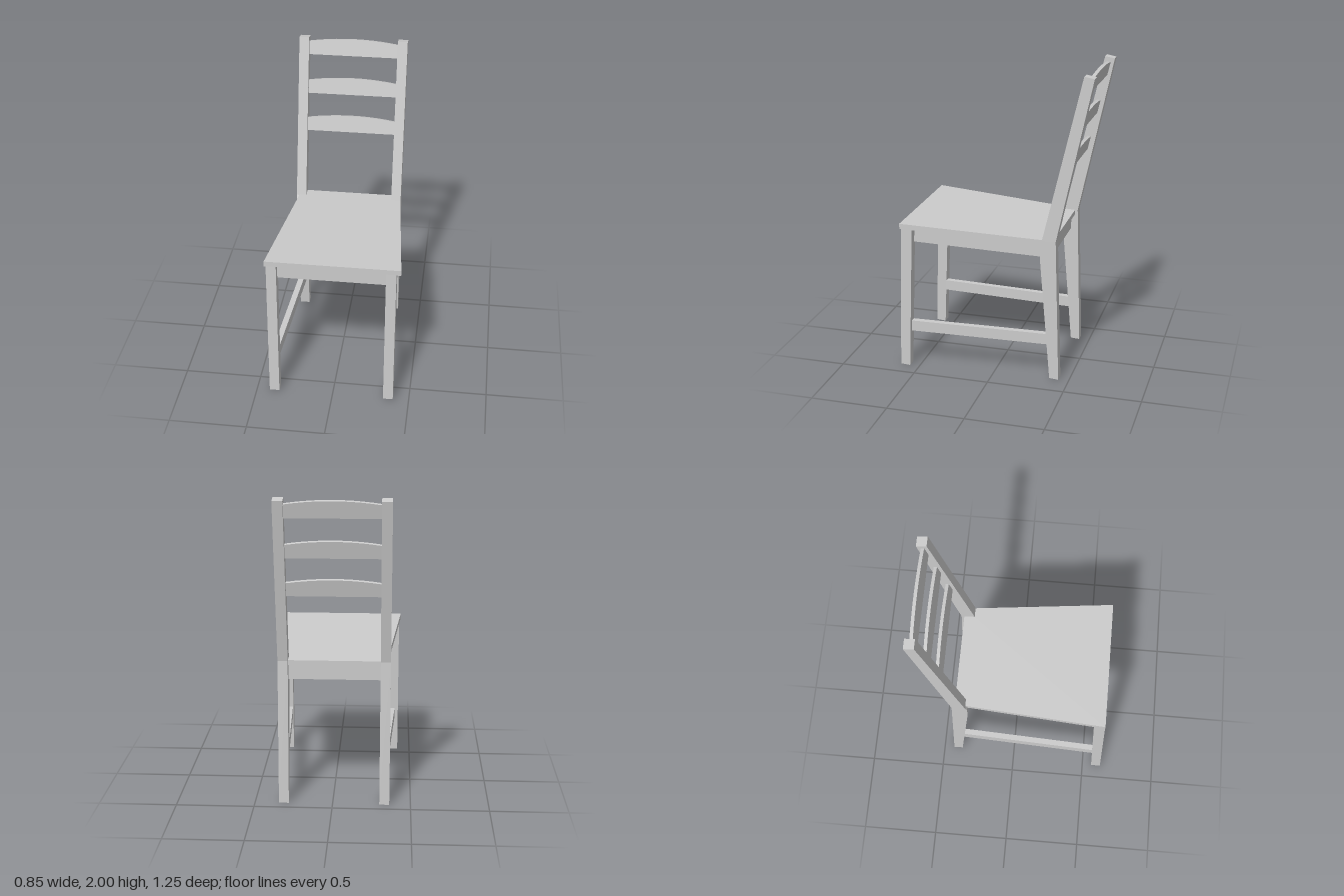
import * as THREE from 'three';

const material = new THREE.MeshStandardMaterial({ color: 0xcccccc, flatShading: true });

function add(parent, name, geometry) {
  geometry.computeVertexNormals();
  const mesh = new THREE.Mesh(geometry, material);
  mesh.name = name;
  parent.add(mesh);
  return mesh;
}

// Side profile of [z, y] points, extruded from x0 to x1
function sideProfile(points, x0, x1) {
  const shape = new THREE.Shape(points.map(([z, y]) => new THREE.Vector2(-z, y)));
  return new THREE.ExtrudeGeometry(shape, { depth: x1 - x0, bevelEnabled: false })
    .rotateY(Math.PI / 2)
    .translate(x0, 0, 0);
}

// Box whose back and front ends each have their own x, y and z
function taperedBox(back, front) {
  const geometry = new THREE.BoxGeometry(1, 1, 1);
  const p = geometry.attributes.position;
  for (let i = 0; i < p.count; i++) {
    const end = p.getZ(i) > 0 ? front : back;
    p.setXYZ(i, end.x[p.getX(i) > 0 ? 1 : 0], end.y[p.getY(i) > 0 ? 1 : 0], end.z);
  }
  return geometry;
}

export function createModel() {
  const chair = new THREE.Group();
  chair.name = 'chair';

  // Sloping seat board, narrower at the back
  add(chair, 'seat', taperedBox(
    { x: [-0.338, 0.338], y: [0.914, 0.946], z: -0.385 },
    { x: [-0.426, 0.426], y: [0.965, 1.0], z: 0.6 }));

  const frame = new THREE.Group();
  frame.name = 'frame';
  frame.position.x = -0.009;
  chair.add(frame);

  // Solid apron block under the seat
  add(frame, 'apron', taperedBox(
    { x: [-0.296, 0.296], y: [0.815, 0.92], z: -0.36 },
    { x: [-0.358, 0.358], y: [0.861, 0.97], z: 0.56 }));

  // Legs, posts and side stretchers in mirrored pairs
  const postProfile = [
    [-0.432, 0], [-0.372, 0.005], [-0.303, 0.82], [-0.303, 0.92], [-0.314, 0.945],
    [-0.562, 2.0], [-0.626, 1.988], [-0.403, 0.945],
  ];
  const frontLegProfile = [[0.627, 0.005], [0.6, 0.967], [0.527, 0.963], [0.564, 0]];
  for (const side of [1, -1]) {
    const label = side > 0 ? 'left' : 'right';
    const span = (a, b) => (side > 0 ? [a, b] : [-b, -a]);
    add(frame, label + 'BackPost', sideProfile(postProfile, ...span(0.291, 0.355)));
    add(frame, label + 'FrontLeg', sideProfile(frontLegProfile, ...span(0.342, 0.406)));
    add(frame, label + 'Stretcher', taperedBox(
      { x: span(0.299, 0.337), y: [0.234, 0.306], z: -0.385 },
      { x: span(0.346, 0.384), y: [0.243, 0.314], z: 0.575 }));
  }

  // Backrest slats with arched tops, leaning with the posts
  const lean = Math.atan(0.235);
  const thickness = 0.021;
  const half = 0.293;
  for (const [i, y] of [1.382, 1.63, 1.883].entries()) {
    const shape = new THREE.Shape();
    shape.moveTo(-half, 0);
    shape.lineTo(half, 0);
    shape.lineTo(half, 0.087);
    shape.quadraticCurveTo(0, 0.133, -half, 0.087);
    const geometry = new THREE.ExtrudeGeometry(shape, {
      depth: thickness, bevelEnabled: false, curveSegments: 10,
    }).translate(0, 0, -thickness);
    const slat = add(frame, 'backSlat' + (i + 1), geometry);
    slat.rotation.x = -lean;
    slat.position.set(0, y, -0.338 - 0.235 * (y - 0.945));
  }

  return chair;
}
